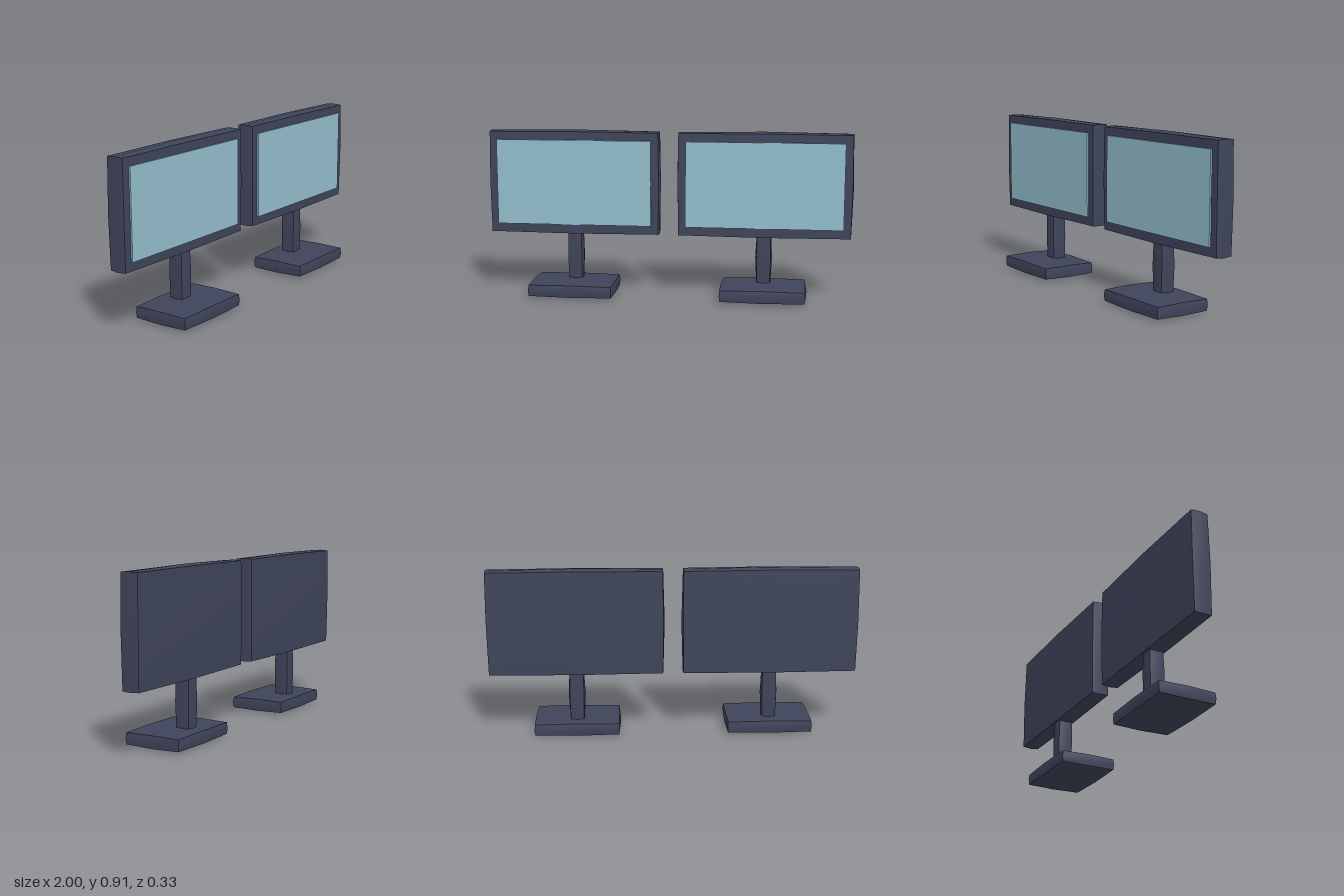
import * as THREE from 'three';
import { toCreasedNormals } from 'three/addons/utils/BufferGeometryUtils.js';

const BULGE = 0.025;

// Box whose edges and corners are pulled in, so every face swells at its middle
function softBox(w, h, d) {
  const geo = new THREE.BoxGeometry(w, h, d, 2, 2, 2);
  const pos = geo.attributes.position;
  const v = new THREE.Vector3();
  for (let i = 0; i < pos.count; i++) {
    v.fromBufferAttribute(pos, i);
    const signs = v.toArray().map((c) => (Math.abs(c) < 1e-6 ? 0 : Math.sign(c)));
    const sides = signs.filter((s) => s !== 0).length;
    const inset = BULGE * (1 - 1 / Math.sqrt(sides));
    v.addScaledVector(new THREE.Vector3(...signs), -inset);
    pos.setXYZ(i, v.x, v.y, v.z);
  }
  return toCreasedNormals(geo, 0.7);
}

export function createModel() {
  const frameMaterial = new THREE.MeshStandardMaterial({ color: 0x3f445b });
  frameMaterial.name = 'darkFrame';
  const screenMaterial = new THREE.MeshStandardMaterial({ color: 0x94bfcd });
  screenMaterial.name = 'paleScreen';

  function addPart(parent, name, geometry, material, x, y, z) {
    const mesh = new THREE.Mesh(geometry, material);
    mesh.name = name;
    mesh.position.set(x, y, z);
    parent.add(mesh);
  }

  // Shared part shapes
  const base = softBox(0.474, 0.082, 0.332);
  const post = softBox(0.092, 0.29, 0.096);
  const panel = softBox(0.955, 0.58, 0.115);
  const screen = new THREE.BoxGeometry(0.855, 0.468, 0.009);

  // Two identical monitors side by side
  const model = new THREE.Group();
  model.name = 'dualMonitors';
  for (const side of [-1, 1]) {
    const monitor = new THREE.Group();
    monitor.name = side < 0 ? 'rightMonitor' : 'leftMonitor';
    monitor.position.x = side * 0.5225;
    addPart(monitor, 'base', base, frameMaterial, 0, 0.041, 0);
    addPart(monitor, 'post', post, frameMaterial, 0, 0.215, -0.053);
    addPart(monitor, 'panel', panel, frameMaterial, 0, 0.616, -0.0525);
    addPart(monitor, 'screen', screen, screenMaterial, 0, 0.618, 0.002);
    model.add(monitor);
  }
  return model;
}
